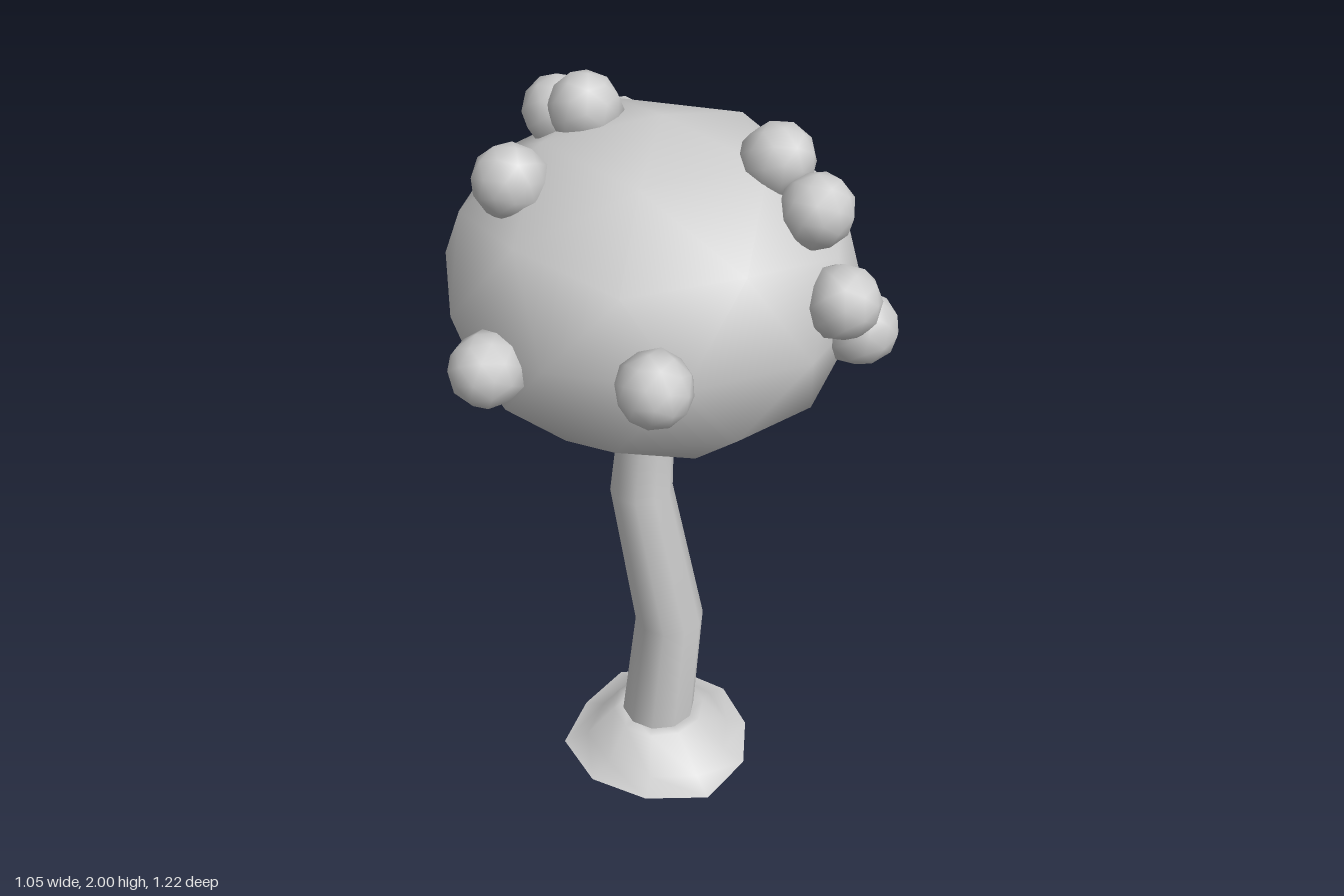
import * as THREE from 'three';

// Surface through horizontal rings listed from bottom to top
function loft(rings, sides, wobble = () => 1) {
  const pos = [], index = [];
  rings.forEach(({ x = 0, y, z = 0, r }, i) => {
    for (let j = 0; j < sides; j++) {
      const a = (j / sides) * Math.PI * 2, k = r * wobble(j, i);
      pos.push(x + Math.cos(a) * k, y, z + Math.sin(a) * k);
      if (i < rings.length - 1) {
        const n = (j + 1) % sides, p = i * sides, q = p + sides;
        index.push(p + j, q + j, q + n, p + j, q + n, p + n);
      }
    }
  });
  const g = new THREE.BufferGeometry();
  g.setAttribute('position', new THREE.Float32BufferAttribute(pos, 3));
  g.setIndex(index);
  g.computeVertexNormals();
  return g;
}

// Low icosphere standing on a vertex, smooth shaded
function icosphere() {
  const g = new THREE.IcosahedronGeometry(1, 1);
  g.rotateZ(Math.atan(2 / (1 + Math.sqrt(5))));
  return g;
}

// Icosphere cut flat below, slightly flared at the cut
function dome() {
  const g = icosphere(), p = g.attributes.position;
  for (let i = 0; i < p.count; i++) {
    if (p.getY(i) < -0.4) p.setXYZ(i, p.getX(i) * 1.08, -0.45, p.getZ(i) * 1.08);
  }
  return g;
}

export function createModel() {
  const group = new THREE.Group();
  const grey = new THREE.MeshStandardMaterial({ color: 0xcccccc });
  grey.name = 'plain grey';
  const add = (name, geometry) => {
    const m = new THREE.Mesh(geometry, grey);
    m.name = name;
    group.add(m);
    return m;
  };

  // Rounded, slightly tilted crown
  const crown = add('crown', icosphere());
  crown.position.set(-0.02, 1.512, 0);
  crown.scale.set(0.515, 0.418, 0.508);
  crown.rotation.z = -0.05;

  // Bent trunk
  add('trunk', loft([
    { x: -0.01, y: 0.04, z: 0, r: 0.102 },
    { x: -0.008, y: 0.12, z: 0, r: 0.102 },
    { x: 0.022, y: 0.45, z: 0, r: 0.094 },
    { x: -0.05, y: 0.88, z: -0.022, r: 0.083 },
    { x: -0.034, y: 1.16, z: -0.004, r: 0.069 },
  ], 10));

  // Flared root skirt with an uneven rim, and its underside
  const rim = [0.92, 0.98, 1.08, 1.0, 1.02, 1.06, 0.95, 1.05, 1.0, 0.96];
  const uneven = (j, i) => (i < 2 ? rim[j] : 1);
  const foot = { x: 0, z: 0.012 };
  add('roots', loft([
    { ...foot, y: 0.015, r: 0.268 },
    { ...foot, y: 0.038, r: 0.205 },
    { x: -0.01, z: 0.01, y: 0.122, r: 0.13 },
    { x: -0.01, z: 0, y: 0.11, r: 0.09 },
  ], 10, uneven));
  add('underside', loft([
    { ...foot, y: 0, r: 0.001 },
    { ...foot, y: 0.015, r: 0.268 },
  ], 10, (j) => rim[j]));

  // Domed fruit set on the crown, each facing outwards
  const fruits = [
    [-0.09, 1.53, 0.52], [-0.44, 1.49, 0.325],
    [0.36, 1.61, 0.345], [0.415, 1.52, 0.31],
    [0.435, 1.51, -0.27], [0.245, 1.865, 0.13],
    [0.315, 1.785, 0.235], [-0.165, 1.915, -0.098],
    [-0.22, 1.885, -0.165], [-0.355, 1.83, 0.085],
    [-0.04, 1.68, -0.495], [0.1, 1.54, -0.515], [-0.08, 1.47, -0.525],
  ];
  const fruitShape = dome();
  const up = new THREE.Vector3(0, 1, 0);
  for (const f of fruits) {
    const fruit = add('fruit', fruitShape);
    fruit.position.set(...f);
    fruit.scale.setScalar(0.087);
    const out = fruit.position.clone().sub(crown.position).normalize();
    fruit.quaternion.setFromUnitVectors(up, out);
  }
  return group;
}
